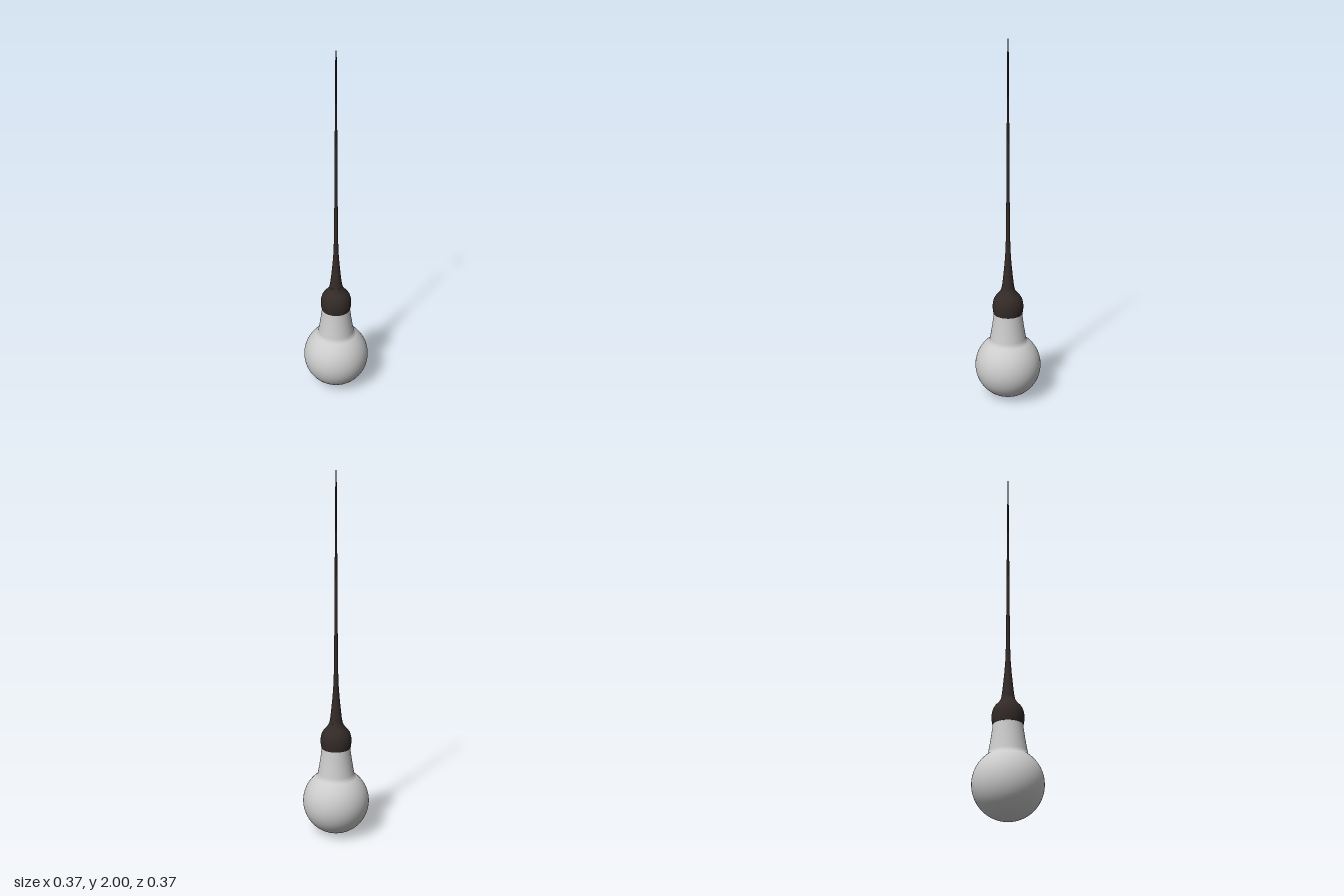
import * as THREE from 'three';

const lathe = (name, points, material, segments = 48) => {
  const geometry = new THREE.LatheGeometry(points.map(([r, y]) => new THREE.Vector2(r, y)), segments);
  const mesh = new THREE.Mesh(geometry, material);
  mesh.name = name;
  return mesh;
};

export function createModel() {
  const group = new THREE.Group();
  group.name = 'hangingBulb';
  const glass = new THREE.MeshStandardMaterial({ color: 0xcccccc, side: THREE.DoubleSide });
  const dark = new THREE.MeshStandardMaterial({ color: 0x332a27, side: THREE.DoubleSide });

  // Round globe running into a tapering neck
  const R = 0.183, cy = 0.187, end = Math.PI * 0.81;
  const bulb = [];
  for (let i = 0; i <= 32; i++) {
    const a = (end * i) / 32;
    bulb.push([R * Math.sin(a), cy - R * Math.cos(a)]);
  }
  bulb.push([0.1, 0.355], [0.096, 0.375], [0.087, 0.43], [0.079, 0.49], [0.077, 0.52]);
  group.add(lathe('bulb', bulb, glass, 64));

  // Socket: closed underside, and rounded cup
  group.add(lathe('socketUnderside', [[0.07, 0.5], [0.08, 0.5]], dark));
  group.add(lathe('socket', [
    [0.08, 0.5], [0.083, 0.515], [0.085, 0.54], [0.083, 0.563], [0.077, 0.585],
    [0.066, 0.602], [0.052, 0.617], [0.042, 0.63], [0.036, 0.645],
  ], dark));

  // Strain relief tapering into the thin cord
  group.add(lathe('cord', [
    [0.036, 0.645], [0.031, 0.675], [0.026, 0.72], [0.019, 0.79], [0.014, 0.86], [0.012, 0.92],
    [0.01, 1.08], [0.008, 1.24], [0.0065, 1.56], [0.005, 1.7], [0.0035, 1.98], [0, 2],
  ], dark, 24));

  return group;
}
